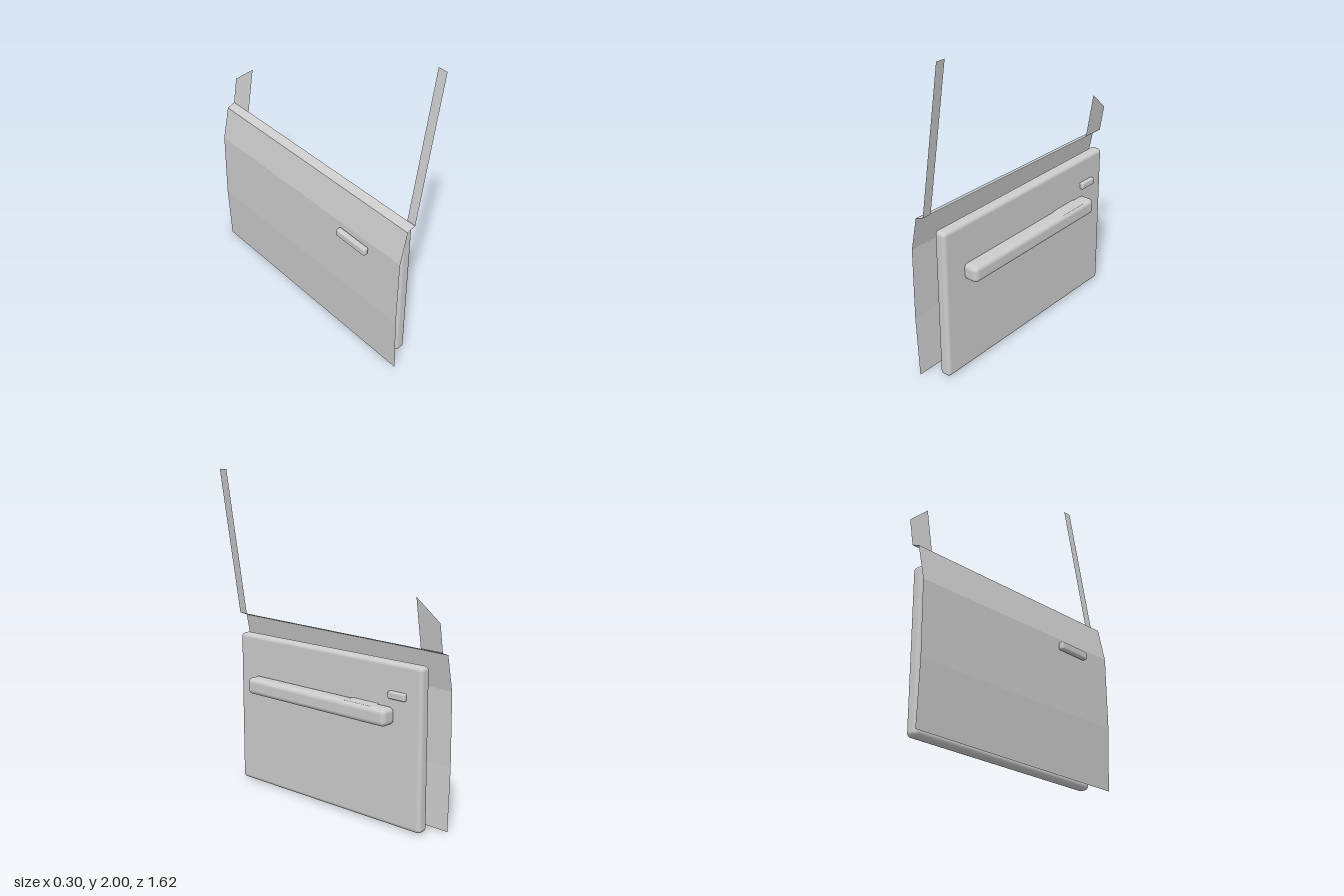
import * as THREE from 'three';
import { RoundedBoxGeometry } from 'three/addons/geometries/RoundedBoxGeometry.js';

const grey = new THREE.MeshStandardMaterial({ color: 0xcccccc, side: THREE.DoubleSide });
grey.name = 'light grey';

// Flat-shaded quads; corners run counter-clockwise seen from the outside
function sheet(name, quads) {
  const pos = [];
  for (const [a, b, c, d] of quads) pos.push(...a, ...b, ...c, ...a, ...c, ...d);
  const geo = new THREE.BufferGeometry();
  geo.setAttribute('position', new THREE.Float32BufferAttribute(pos, 3));
  geo.computeVertexNormals();
  const mesh = new THREE.Mesh(geo, grey);
  mesh.name = name;
  return mesh;
}

// Rounded block given by its extents on each axis
function block(name, [x0, x1], [y0, y1], [z0, z1], radius) {
  const geo = new RoundedBoxGeometry(x1 - x0, y1 - y0, z1 - z0, 4, radius);
  const mesh = new THREE.Mesh(geo, grey);
  mesh.name = name;
  mesh.position.set((x0 + x1) / 2, (y0 + y1) / 2, (z0 + z1) / 2);
  return mesh;
}

export function createModel() {
  const door = new THREE.Group();
  door.name = 'door';
  const END = 0.81;

  // Bent outer skin: [x, y at the -z end, y at the +z end]
  const profile = [
    [-0.1, 0, 0], [-0.117, 0.375, 0.39], [-0.113, 0.82, 0.847],
    [-0.069, 1.033, 1.06], [-0.016, 1.053, 1.08],
  ];
  const strips = profile.slice(1).map(([x, yn, yp], i) => {
    const [px, pyn, pyp] = profile[i];
    return [[px, pyn, -END], [px, pyp, END], [x, yp, END], [x, yn, -END]];
  });
  door.add(sheet('outerSkin', strips.slice(0, 3)));
  door.add(sheet('windowSill', strips.slice(3)));

  // Window frame pieces lie in one leaning plane
  const lean = (y, z) => [-0.016 + (y - 1.07) * 0.161, y, z];
  door.add(sheet('rearWindowPost', [
    [lean(1.078, 0.75), lean(1.08, END), lean(2, END), lean(2, 0.75)],
  ]));
  door.add(sheet('frontWindowCorner', [
    [lean(1.053, -END), lean(1.055, -0.66), lean(1.35, -0.66), lean(1.22, -END)],
  ]));

  // Inner trim
  door.add(block('innerPanel', [-0.017, 0.058], [0.005, 0.97], [-0.73, 0.73], 0.025));
  door.add(block('armrest', [0.045, 0.149], [0.61, 0.714], [-0.537, 0.578], 0.03));
  door.add(block('innerHandle', [0.045, 0.082], [0.763, 0.807], [-0.627, -0.505], 0.01));

  // Switch plate on top of the armrest
  const y = 0.716;
  door.add(sheet('switchPlate', [
    [[0.06, y, -0.23], [0.142, y, -0.23], [0.142, y, -0.43], [0.06, y, -0.43]],
  ]));

  // Outer pull
  door.add(block('outerHandle', [-0.155, -0.118], [0.763, 0.814], [0.323, 0.565], 0.012));

  return door;
}
